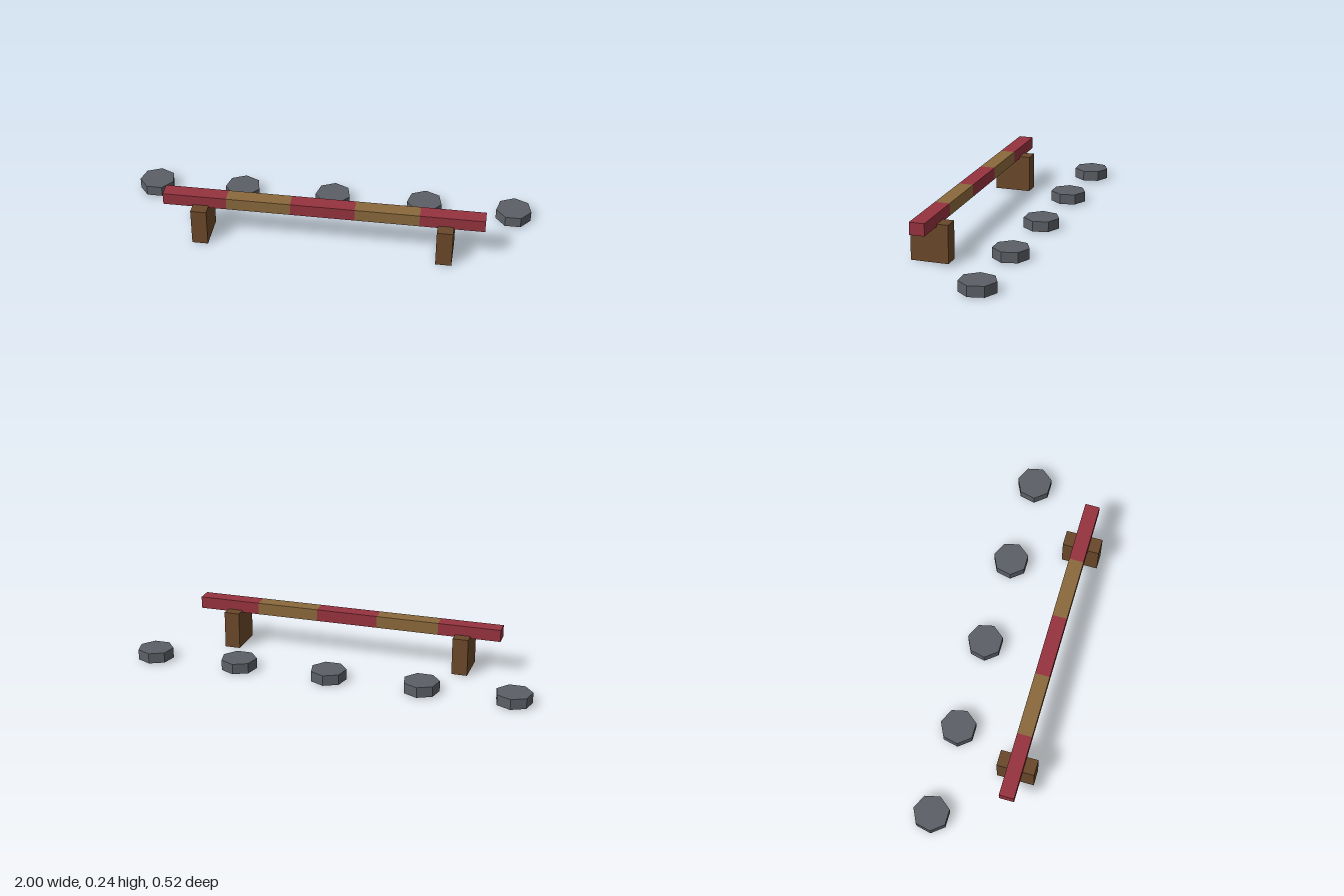
import * as THREE from 'three';

const material = (color) => new THREE.MeshStandardMaterial({ color, flatShading: true });

export function createModel() {
  const model = new THREE.Group();
  model.name = 'beamAndSteppingStones';
  const red = material(0x96333e);
  const tan = material(0x8a683c);
  const wood = material(0x6b482a);
  const stone = material(0x5c6066);

  const add = (name, geometry, mat, x, y, z) => {
    const mesh = new THREE.Mesh(geometry, mat);
    mesh.name = name;
    mesh.position.set(x, y, z);
    model.add(mesh);
    return mesh;
  };

  // Balance beam in five alternating painted sections
  const sectionLength = 0.313;
  const sectionGeometry = new THREE.BoxGeometry(sectionLength, 0.06, 0.074);
  for (let i = -2; i <= 2; i++) {
    add(`beamSection${i + 3}`, sectionGeometry, i % 2 === 0 ? red : tan, i * sectionLength, 0.206, 0.167);
  }

  // Support blocks, slightly overlapping the beam
  const supportGeometry = new THREE.BoxGeometry(0.078, 0.187, 0.186);
  add('rightSupport', supportGeometry, wood, -0.596, 0.0935, 0.168);
  add('leftSupport', supportGeometry, wood, 0.596, 0.0935, 0.168);

  // Row of seven-sided stepping stones, one corner pointing back
  const stoneGeometry = new THREE.CylinderGeometry(0.0894, 0.0894, 0.052, 7);
  stoneGeometry.rotateY(Math.PI);
  [-0.913, -0.465, 0, 0.465, 0.913].forEach((x, i) => {
    add(`steppingStone${i + 1}`, stoneGeometry, stone, x, 0.031, -0.171);
  });

  return model;
}
